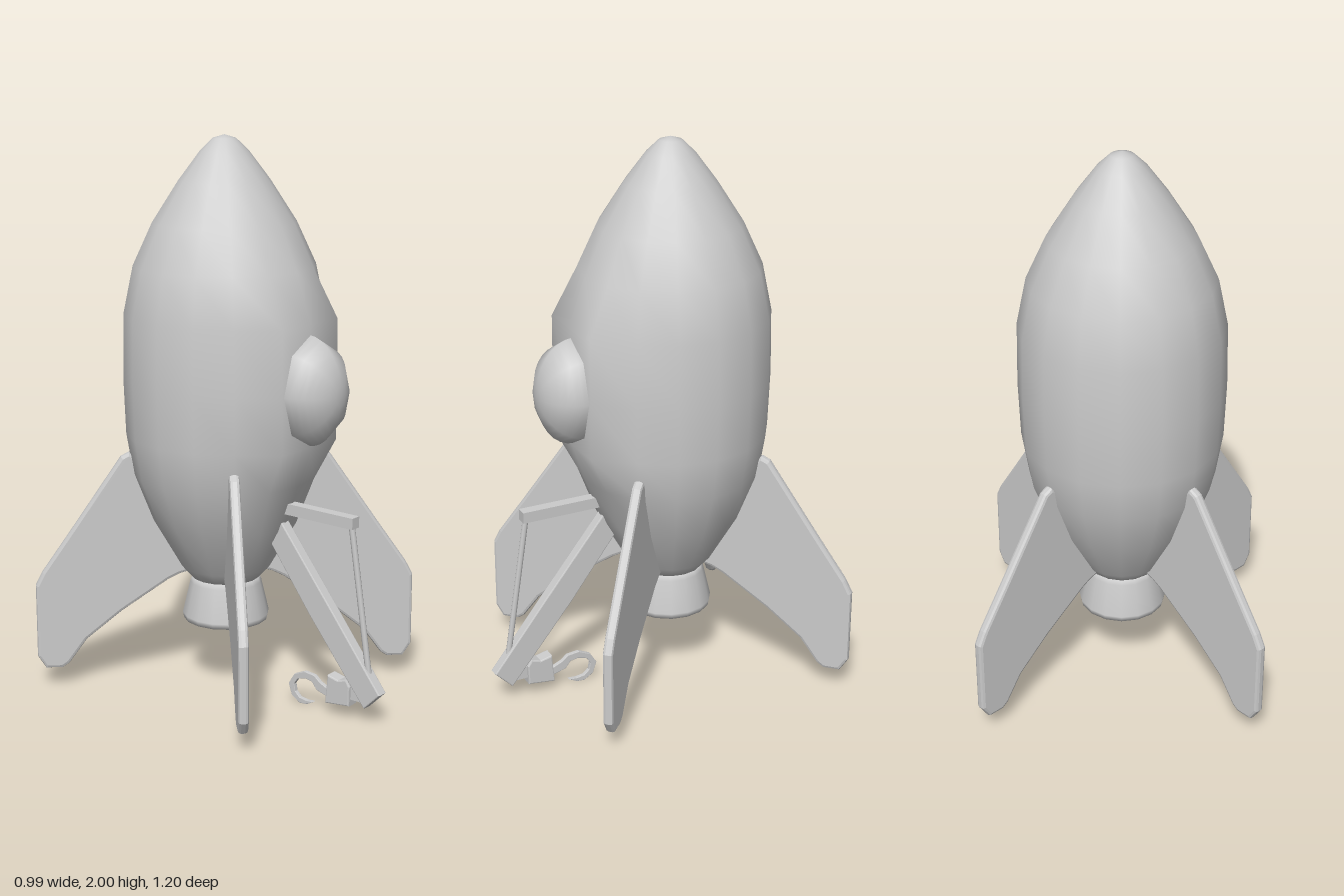
import * as THREE from 'three';
import { mergeVertices } from 'three/addons/utils/BufferGeometryUtils.js';

const AXIS_Z = -0.1; // the hull stands behind the centre, the crane in front
const material = new THREE.MeshStandardMaterial({ color: 0xcccccc });
const openMaterial = new THREE.MeshStandardMaterial({ color: 0xcccccc, side: THREE.DoubleSide });
const points = (list) => list.map(([a, b]) => new THREE.Vector2(a, b));

function add(parent, name, geometry, mat = material) {
  const mesh = new THREE.Mesh(geometry, mat);
  mesh.name = name;
  parent.add(mesh);
  return mesh;
}

// Flat plate cut from an outline and centred on its thickness
function plate(outline, thickness, bevel) {
  const depth = thickness - 2 * bevel;
  const geometry = new THREE.ExtrudeGeometry(new THREE.Shape(points(outline)), {
    depth, bevelEnabled: bevel > 0, bevelSize: bevel, bevelOffset: -bevel,
    bevelThickness: bevel, bevelSegments: 2,
  });
  return geometry.translate(0, 0, -depth / 2);
}

// Side plate: outline given as (z, y), thickness along x
function sidePlate(outline, thickness, bevel) {
  return plate(outline.map(([z, y]) => [-z, y]), thickness, bevel).rotateY(Math.PI / 2);
}

// Sixteen-sided hull with a flat seat for the window on its front
function hullGeometry() {
  const profile = points([
    [0, 0.405], [0.125, 0.41], [0.165, 0.455], [0.265, 0.63], [0.33, 0.8], [0.354, 0.95],
    [0.361, 1.15], [0.357, 1.38], [0.322, 1.55], [0.253, 1.7], [0.16, 1.845],
    [0.085, 1.945], [0.04, 1.988], [0, 2],
  ]);
  let geometry = new THREE.LatheGeometry(profile, 16, Math.PI);
  geometry.deleteAttribute('uv');
  geometry.deleteAttribute('normal');
  geometry = mergeVertices(geometry, 1e-4);
  const p = geometry.attributes.position;
  for (let i = 0; i < p.count; i++) {
    const y = p.getY(i);
    if (p.getZ(i) > 0.3 && y > 0.9 && y < 1.4) {
      p.setZ(i, 0.38);
      p.setX(i, p.getX(i) * 1.12);
    }
  }
  geometry.computeVertexNormals();
  return geometry;
}

export function createModel() {
  const model = new THREE.Group();
  model.name = 'rocket';

  add(model, 'hull', hullGeometry()).position.z = AXIS_Z;

  // Window: a faceted oval dome
  const dome = new THREE.SphereGeometry(1, 8, 8, 0, Math.PI * 2, 0, Math.PI / 2);
  dome.rotateX(Math.PI / 2).scale(0.145, 0.195, 0.14);
  add(model, 'window', dome).position.set(0, 1.15, 0.272);

  // Hollow engine bell
  const bell = new THREE.LatheGeometry(points([
    [0.06, 0.37], [0.115, 0.36], [0.137, 0.25], [0.154, 0.25],
    [0.158, 0.27], [0.13, 0.39], [0.122, 0.41], [0.06, 0.43],
  ]), 16);
  add(model, 'engineBell', bell, openMaterial).position.z = AXIS_Z;
  const cap = new THREE.CircleGeometry(0.12, 16).rotateX(Math.PI / 2);
  add(model, 'engineCap', cap, openMaterial).position.set(0, 0.37, AXIS_Z);

  // Four swept fins on the diagonals
  const finGeometry = plate([
    [0.1, 0.44], [0.17, 0.42], [0.21, 0.4], [0.38, 0.285], [0.51, 0.18], [0.575, 0.09],
    [0.6, 0.073], [0.66, 0.073], [0.69, 0.12], [0.69, 0.39], [0.665, 0.44],
    [0.565, 0.585], [0.375, 0.865], [0.345, 0.88], [0.29, 0.84],
  ], 0.036, 0.011);
  for (let i = 0; i < 4; i++) {
    const fin = add(model, 'fin' + (i + 1), finGeometry);
    fin.position.z = AXIS_Z;
    fin.rotation.y = Math.PI / 4 + i * Math.PI / 2;
  }

  // Crane in front: support bar, sloping boom and stay rod
  const crane = new THREE.Group();
  crane.name = 'crane';
  model.add(crane);
  add(crane, 'supportBar', new THREE.BoxGeometry(0.04, 0.04, 0.36)).position.set(0, 0.717, 0.3);
  add(crane, 'boom', sidePlate([
    [0.605, 0.125], [0.54, 0.06], [0.3, 0.35], [0.08, 0.64], [0.16, 0.68], [0.41, 0.37],
  ], 0.042, 0.004));
  const from = new THREE.Vector3(0, 0.71, 0.463);
  const to = new THREE.Vector3(0, 0.15, 0.55);
  const rod = add(crane, 'stayRod', new THREE.CylinderGeometry(0.011, 0.011, from.distanceTo(to), 8));
  rod.position.lerpVectors(from, to, 0.5);
  rod.quaternion.setFromUnitVectors(new THREE.Vector3(0, 1, 0), from.sub(to).normalize());

  // Hook block behind the boom foot
  add(crane, 'hookBlock', sidePlate([
    [0.48, 0.125], [0.465, 0.15], [0.43, 0.138], [0.385, 0.148],
    [0.375, 0.04], [0.478, 0.053],
  ], 0.05, 0.005));
  add(crane, 'hookNeck', new THREE.BoxGeometry(0.03, 0.045, 0.08)).position.set(0, 0.1, 0.5);

  // Curved hook, tapering to its tip
  add(crane, 'hook', sidePlate([
    [0.38, 0.085], [0.34, 0.102], [0.315, 0.122], [0.27, 0.126], [0.225, 0.105], [0.2, 0.065],
    [0.215, 0.022], [0.25, 0.001], [0.28, 0.003], [0.312, 0.02], [0.28, 0.018],
    [0.25, 0.022], [0.23, 0.04], [0.225, 0.068], [0.24, 0.09], [0.275, 0.1],
    [0.305, 0.095], [0.325, 0.07], [0.38, 0.055],
  ], 0.016, 0.002));

  return model;
}
